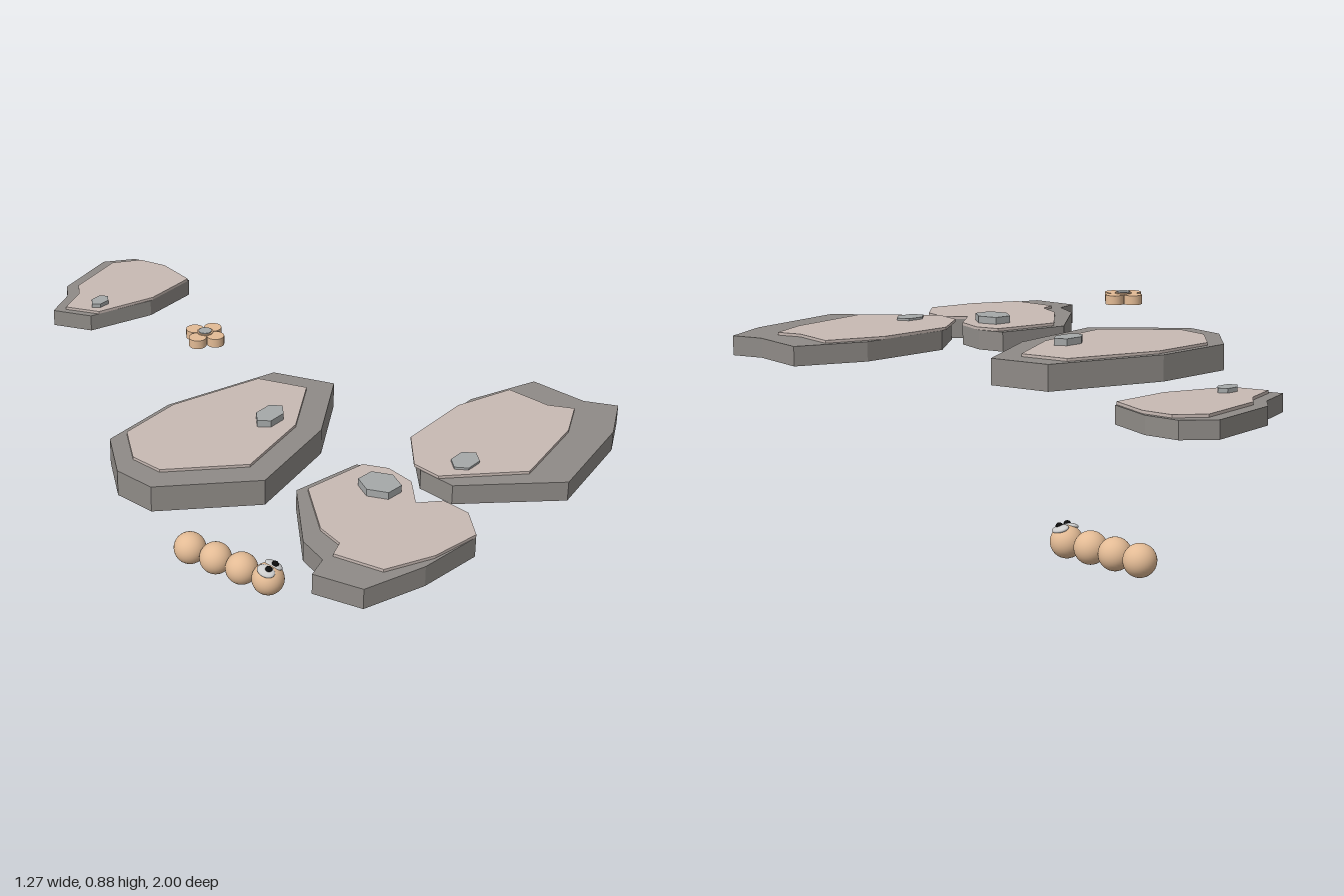
import * as THREE from 'three';

const mat = (color) => new THREE.MeshStandardMaterial({ color });
const stone = mat(0x8f8b87), sand = mat(0xc8bab4), pebbleGrey = mat(0xa6a9a9);
const skin = mat(0xe3bb95), white = mat(0xe6e6e6), black = mat(0x0c0c0c);

function add(group, name, geometry, material, x = 0, y = 0, z = 0) {
  const mesh = new THREE.Mesh(geometry, material);
  mesh.name = name;
  mesh.position.set(x, y, z);
  group.add(mesh);
  return mesh;
}

// Flat slab over a ground outline of [x, z] corners, between heights y0 and y1
function slab(corners, y0, y1) {
  const shape = new THREE.Shape(corners.map(([x, z]) => new THREE.Vector2(x, -z)));
  return new THREE.ExtrudeGeometry(shape, { depth: y1 - y0, bevelEnabled: false })
    .rotateX(-Math.PI / 2).translate(0, y0, 0);
}

// Draws v towards the span lo..hi when it lies outside it
function pull(v, lo, hi, k) {
  const near = THREE.MathUtils.clamp(v, lo, hi);
  return near + (v - near) * k;
}

// Stone base, thin cap pulled in from the same outline, and a six-sided pebble
function createRock(name, { corners, bottom, top, spanX, spanZ, pull: [kx, kz], pebble: [px, pz, rx, rz, pebbleTop] }) {
  const rock = new THREE.Group();
  rock.name = name;
  const capTop = top + 0.009;
  const cap = corners.map(([x, z]) => [pull(x, ...spanX, kx), pull(z, ...spanZ, kz)]);
  const ring = Array.from({ length: 6 }, (_, i) => {
    const a = (i * Math.PI) / 3 + 0.15;
    return [px + rx * Math.cos(a), pz + rz * Math.sin(a)];
  });
  add(rock, 'rockBase', slab(corners, bottom, top), stone);
  add(rock, 'rockCap', slab(cap, top, capTop), sand);
  add(rock, 'pebble', slab(ring, capTop, pebbleTop), pebbleGrey);
  return rock;
}

const createMiddleRock = () => createRock('middleRock', {
  corners: [[-0.4, -0.26], [-0.135, -0.24], [0.22, -0.09], [0.27, 0.105], [0.01, 0.23],
    [-0.325, 0.255], [-0.545, 0.005], [-0.53, -0.13]],
  bottom: 0.59, top: 0.674,
  spanX: [-0.145, -0.145], spanZ: [-0.135, -0.135], pull: [0.8, 0.8],
  pebble: [-0.04, 0.075, 0.06, 0.038, 0.705],
});

// The cap reaches the edge on the notched side
const createNotchedRock = () => createRock('notchedRock', {
  corners: [[-0.31, 0.355], [-0.09, 0.42], [-0.065, 0.505], [-0.09, 0.61], [-0.18, 0.68], [-0.125, 0.74],
    [-0.14, 0.83], [-0.225, 0.905], [-0.43, 0.865], [-0.62, 0.785], [-0.64, 0.63], [-0.565, 0.615], [-0.52, 0.52]],
  bottom: 0.603, top: 0.668,
  spanX: [-0.25, 0], spanZ: [0.6, 1], pull: [0.73, 0.88],
  pebble: [-0.176, 0.555, 0.056, 0.066, 0.7],
});

const createFrontRock = () => createRock('frontRock', {
  corners: [[0.11, 0.495], [0.405, 0.52], [0.615, 0.625], [0.595, 0.81], [0.63, 0.91],
    [0.48, 0.97], [0.15, 0.995], [0.02, 0.83], [-0.06, 0.73], [-0.04, 0.61]],
  bottom: 0.627, top: 0.69,
  spanX: [0, 0], spanZ: [0.495, 0.495], pull: [0.833, 0.77],
  pebble: [0.062, 0.7, 0.054, 0.04, 0.706],
});

const createBackRock = () => createRock('backRock', {
  corners: [[0.125, -0.91], [0.235, -0.94], [0.285, -0.985], [0.505, -1], [0.585, -0.925],
    [0.6, -0.82], [0.56, -0.675], [0.365, -0.69], [0.165, -0.785]],
  bottom: 0.636, top: 0.69,
  spanX: [0.48, 0.48], spanZ: [-0.675, -0.675], pull: [0.916, 0.877],
  pebble: [0.24, -0.805, 0.038, 0.026, 0.712],
});

// Four round petals about a small disc
function createFlower() {
  const flower = new THREE.Group();
  flower.name = 'flower';
  for (let i = 0; i < 4; i++) {
    const a = (i * Math.PI) / 2;
    add(flower, 'petal', new THREE.CylinderGeometry(0.027, 0.027, 0.028, 20), skin,
      0.039 * Math.cos(a), 0, 0.039 * Math.sin(a));
  }
  add(flower, 'flowerCentre', new THREE.CylinderGeometry(0.025, 0.025, 0.034, 20), skin);
  add(flower, 'flowerButton', new THREE.CylinderGeometry(0.02, 0.02, 0.003, 20), pebbleGrey, 0, 0.0185, 0);
  flower.position.set(0.007, 0.864, -0.2);
  return flower;
}

// Chain of balls with two eyes on the first
function createCaterpillar() {
  const body = new THREE.Group();
  body.name = 'caterpillar';
  for (let i = 0; i < 4; i++) {
    add(body, i ? 'bodySegment' : 'head', new THREE.SphereGeometry(0.054, 32, 20), skin, 0, 0.054, 0.038 - i * 0.104);
  }
  for (const side of [-1, 1]) {
    const eye = add(body, 'eyeWhite', new THREE.SphereGeometry(0.023, 24, 14), white, side * 0.022, 0.098, 0.045);
    eye.scale.set(1, 0.45, 1.4);
    eye.rotation.set(0.2, 0, -side * 0.3);
    add(body, 'pupil', new THREE.SphereGeometry(0.012, 20, 12), black, side * 0.018, 0.105, 0.053);
  }
  body.position.x = 0.007;
  return body;
}

export function createModel() {
  const model = new THREE.Group();
  model.name = 'floatingRocks';
  model.add(createMiddleRock(), createNotchedRock(), createFrontRock(), createBackRock(),
    createFlower(), createCaterpillar());
  return model;
}
